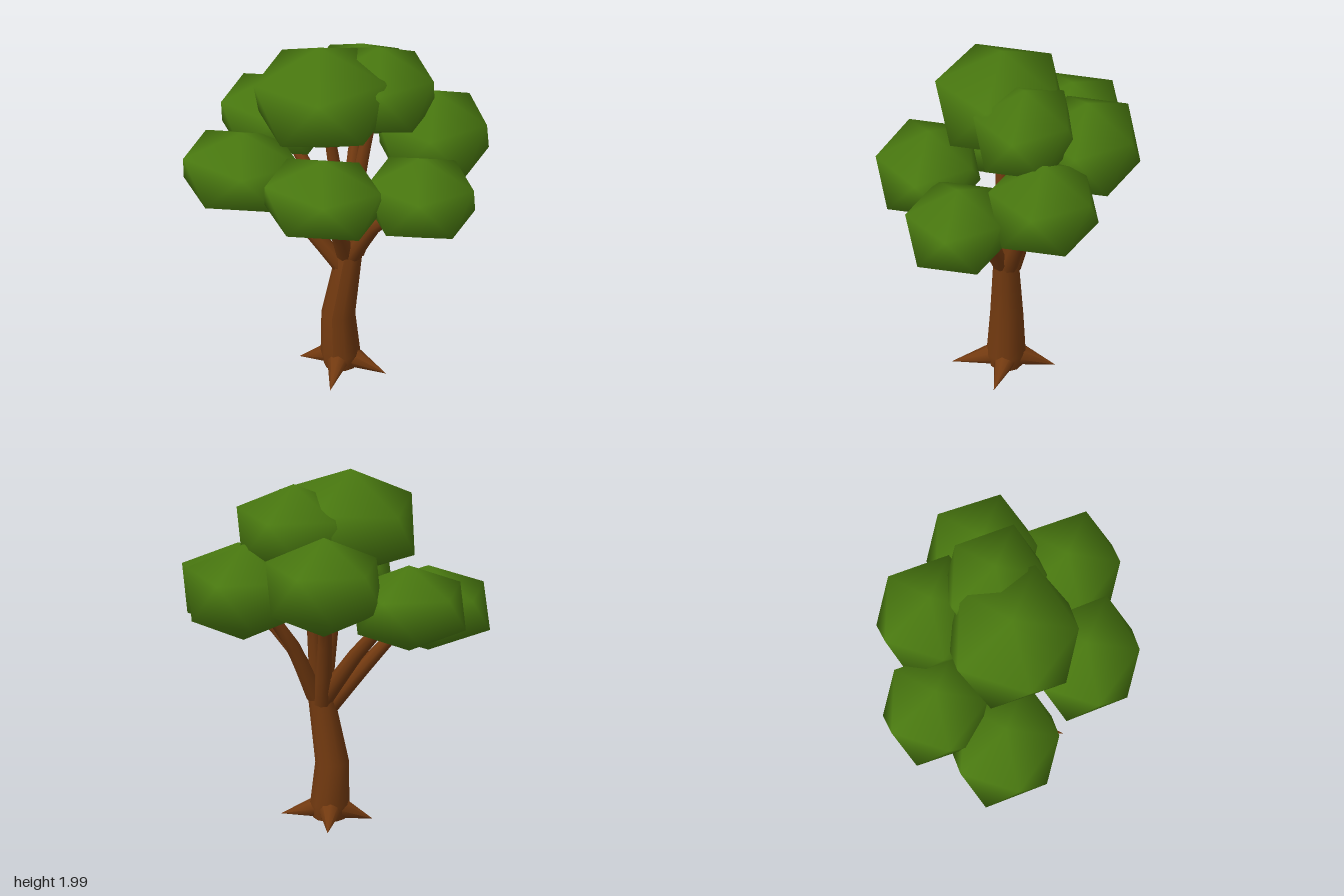
import * as THREE from 'three';
import { mergeVertices } from 'three/addons/utils/BufferGeometryUtils.js';

const V = (p) => new THREE.Vector3(...p);

// Smooth-shaded icosahedron standing on a point, one ring corner facing +x
function makeBlob(rx, ry, rz) {
  let g = new THREE.IcosahedronGeometry(1, 0);
  g.deleteAttribute('normal');
  g.deleteAttribute('uv');
  g = mergeVertices(g, 1e-3);
  g.rotateX(-Math.atan((1 + Math.sqrt(5)) / 2));
  g.rotateY(Math.PI / 2);
  g.computeVertexNormals();
  g.scale(rx, ry, rz);
  return g;
}

// Tube along a curve that narrows from r0 to r1
function makeLimb(points, r0, r1, segments = 4, sides = 8) {
  const curve = new THREE.CatmullRomCurve3(points.map(V));
  const g = new THREE.TubeGeometry(curve, segments, 1, sides);
  const pos = g.attributes.position;
  const v = new THREE.Vector3();
  for (let i = 0; i < pos.count; i++) {
    const t = Math.floor(i / (sides + 1)) / segments;
    const c = curve.getPointAt(t);
    v.fromBufferAttribute(pos, i).sub(c).multiplyScalar(r0 + (r1 - r0) * t).add(c);
    pos.setXYZ(i, v.x, v.y, v.z);
  }
  return g;
}

// Bent trunk: cylinder rings moved to [x, y, z, radius]
function makeTrunk(rings) {
  const n = rings.length - 1;
  const g = new THREE.CylinderGeometry(1, 1, 1, 10, n);
  const pos = g.attributes.position;
  for (let i = 0; i < pos.count; i++) {
    const [x, y, z, r] = rings[Math.round((pos.getY(i) + 0.5) * n)];
    pos.setXYZ(i, x + pos.getX(i) * r, y, z + pos.getZ(i) * r);
  }
  g.computeVertexNormals();
  return g;
}

export function createModel() {
  const bark = new THREE.MeshStandardMaterial({ color: 0x733a10 });
  bark.name = 'bark';
  const leaf = new THREE.MeshStandardMaterial({ color: 0x4a7a10 });
  leaf.name = 'leaf';
  const tree = new THREE.Group();
  tree.name = 'tree';
  const add = (name, geometry, material) => {
    const mesh = new THREE.Mesh(geometry, material);
    mesh.name = name;
    tree.add(mesh);
    return mesh;
  };

  add('trunk', makeTrunk([
    [0.005, 0.01, 0.01, 0.09],
    [0.005, 0.09, 0.01, 0.108],
    [-0.008, 0.33, 0.01, 0.092],
    [0.055, 0.73, 0, 0.07],
  ]), bark);

  // Roots: cones pointing outward to the ground
  const tips = [[0.275, 0.02], [-0.23, 0.02], [0.06, 0.3], [-0.03, -0.255]];
  for (const [x, z] of tips) {
    const base = new THREE.Vector3(x * 0.22, 0.068, z * 0.22);
    const tip = new THREE.Vector3(x, 0.008, z);
    const dir = tip.clone().sub(base);
    const g = new THREE.ConeGeometry(0.062, dir.length(), 8);
    const root = add('root', g, bark);
    root.position.copy(base).add(tip).multiplyScalar(0.5);
    root.quaternion.setFromUnitVectors(new THREE.Vector3(0, 1, 0), dir.normalize());
  }

  // Branches: start, middle and end, one for each clump of leaves
  const branches = [
    [[0.01, 0.64, 0.02], [-0.17, 0.86, 0.06], [-0.36, 1.08, 0.12]],
    [[0.03, 0.7, -0.02], [-0.21, 1.06, -0.12], [-0.38, 1.25, -0.2]],
    [[0.04, 0.72, 0.03], [0.04, 0.97, 0.18], [0.05, 1.15, 0.35]],
    [[0.08, 0.72, 0.02], [0.24, 0.97, 0.08], [0.42, 1.12, 0.13]],
    [[0.08, 0.71, -0.02], [0.21, 1.08, -0.14], [0.36, 1.3, -0.24]],
    [[0.04, 0.68, -0.03], [0, 1.1, -0.16], [-0.02, 1.38, -0.32]],
    [[0.04, 0.72, 0.01], [0, 1.1, 0.03], [-0.05, 1.5, 0.05]],
    [[0.07, 0.72, 0], [0.08, 1.1, -0.04], [0.14, 1.52, -0.1]],
  ];
  for (const path of branches) add('branch', makeLimb(path, 0.05, 0.03), bark);

  // Leaf clumps: centre, radii and tilt
  const clumps = [
    [[-0.08, 1.69, 0.06], [0.43, 0.31, 0.4], 0.07],
    [[0.18, 1.69, -0.13], [0.35, 0.27, 0.31], 0],
    [[0.07, 1.283, 0.43], [0.38, 0.243, 0.315], 0],
    [[0.535, 1.25, 0.165], [0.347, 0.25, 0.315], 0],
    [[-0.51, 1.19, 0.165], [0.38, 0.243, 0.317], 0],
    [[-0.477, 1.33, -0.25], [0.35, 0.245, 0.315], 0],
    [[0.427, 1.38, -0.29], [0.35, 0.275, 0.335], 0],
    [[-0.04, 1.485, -0.43], [0.36, 0.285, 0.32], 0],
  ];
  for (const [centre, radii, tilt] of clumps) {
    const clump = add('leafClump', makeBlob(...radii), leaf);
    clump.position.set(...centre);
    clump.rotation.z = tilt;
  }
  return tree;
}
